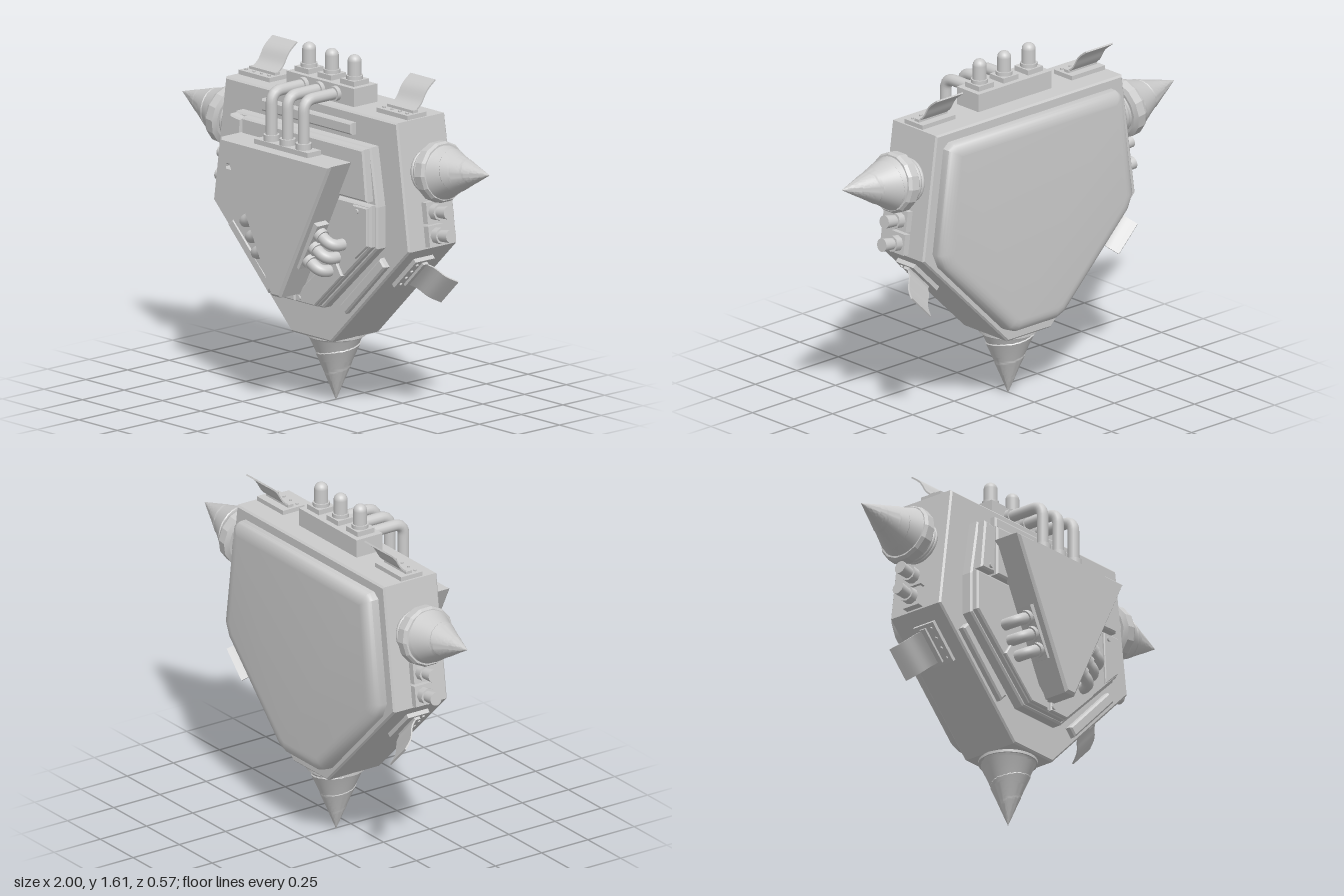
import * as THREE from 'three';
import { toCreasedNormals } from 'three/addons/utils/BufferGeometryUtils.js';

const mat = new THREE.MeshStandardMaterial({ color: 0xcccccc });
const thin = new THREE.MeshStandardMaterial({ color: 0xcccccc, side: THREE.DoubleSide });
const AXIS_Z = -0.08;

function add(parent, name, geo, x = 0, y = 0, z = 0, material = mat) {
  const m = new THREE.Mesh(geo, material);
  m.name = name;
  m.position.set(x, y, z);
  parent.add(m);
  return m;
}
const box = (w, h, d) => new THREE.BoxGeometry(w, h, d);
const cyl = (r0, r1, h, n = 20) => new THREE.CylinderGeometry(r0, r1, h, n);
const mirror = (half) => [...half, ...half.slice().reverse().filter(p => p[0] > 0).map(([x, y]) => [-x, y])];

// Flat plate from an outline, spanning z0 to z1, with bevelled rims
function plate(pts, z0, z1, bevel = 0.008, segments = 1, thick = bevel) {
  const shape = new THREE.Shape(pts.map(p => new THREE.Vector2(...p)));
  const geo = new THREE.ExtrudeGeometry(shape, {
    depth: z1 - z0 - 2 * thick, bevelEnabled: bevel > 0, bevelSize: bevel,
    bevelOffset: -bevel, bevelThickness: thick, bevelSegments: segments,
  });
  return geo.translate(0, 0, z0 + thick);
}

// Bent pipe through straight runs with rounded corner
function pipe(a, corner, b, r, bend) {
  const [A, C, B] = [a, corner, b].map(p => new THREE.Vector3(...p));
  const p = C.clone().add(A.clone().sub(C).setLength(bend));
  const q = C.clone().add(B.clone().sub(C).setLength(bend));
  const path = new THREE.CurvePath();
  path.add(new THREE.LineCurve3(A, p));
  path.add(new THREE.QuadraticBezierCurve3(p, C, q));
  path.add(new THREE.LineCurve3(q, B));
  return new THREE.TubeGeometry(path, 28, r, 14);
}

// Group on a hull edge: local y points out of the hull
function mount(parent, name, x, y, angle) {
  const g = new THREE.Group();
  g.name = name;
  g.position.set(x, y, 0);
  g.rotation.z = angle;
  parent.add(g);
  return g;
}

// Cone with a spiral step cut into it, base at y = 0
function drillCone(r, h, turns) {
  const geo = new THREE.CylinderGeometry(0.001, r, h, 48, 64).translate(0, h / 2, 0);
  const p = geo.attributes.position;
  for (let i = 0; i < p.count; i++) {
    const x = p.getX(i), z = p.getZ(i), t = p.getY(i) / h;
    if (t > 0.97 || t < 0.001) continue;
    const f = t * turns + Math.atan2(z, x) / (2 * Math.PI);
    const k = 1 - 0.06 * (1 - t) * (f - Math.floor(f));
    p.setX(i, x * k);
    p.setZ(i, z * k);
  }
  return toCreasedNormals(geo, 0.6);
}

// Curved flap on a bolted hinge plate
function addFlap(parent) {
  add(parent, 'flapPlate', box(0.2, 0.02, 0.115), 0, 0.01, -0.06);
  add(parent, 'flapHinge', box(0.17, 0.025, 0.03), 0, 0.02, -0.065);
  for (let i = -1.5; i <= 1.5; i++) add(parent, 'flapBolt', cyl(0.007, 0.007, 0.01, 8), i * 0.05, 0.022, -0.025);
  const curve = new THREE.SplineCurve([[0.06, 0.015], [0.105, 0.05], [0.14, 0.105], [0.19, 0.145]].map(p => new THREE.Vector2(...p)));
  const low = curve.getPoints(12);
  const high = low.map(p => new THREE.Vector2(p.x - 0.004, p.y + 0.006)).reverse();
  const geo = new THREE.ExtrudeGeometry(new THREE.Shape([...low, ...high]), { depth: 0.16, bevelEnabled: false });
  add(parent, 'flap', toCreasedNormals(geo.rotateY(Math.PI / 2).translate(-0.08, 0, 0), 0.6), 0, 0, 0, thin);
}

export function createModel() {
  const g = new THREE.Group();
  g.name = 'drillPack';

  // Hull and padded back
  add(g, 'hull', plate(mirror([[0.13, 0.31], [0.64, 0.815], [0.56, 1.39]]), -0.22, 0.07));
  const pad = plate(mirror([[0.12, 0.365], [0.17, 0.385], [0.555, 0.77], [0.585, 0.84], [0.52, 1.32], [0.49, 1.345]]),
    -0.285, -0.15, 0.06, 6, 0.04);
  add(g, 'backPad', toCreasedNormals(pad, 0.7));

  // Layered front armour
  add(g, 'frontBase', plate(mirror([[0.13, 0.475], [0.485, 0.81], [0.485, 1.0], [0.44, 1.265]]), 0.06, 0.12));
  add(g, 'lowerPanel', plate([...mirror([[0.015, 0.485], [0.12, 0.485], [0.475, 0.82], [0.475, 1.01]])], 0.1, 0.15));
  add(g, 'upperPanel', plate([[-0.355, 1.025], [0.46, 1.025], [0.435, 1.26], [-0.355, 1.26]], 0.1, 0.16));
  add(g, 'upperEndPanel', plate([[-0.46, 1.025], [-0.37, 1.025], [-0.36, 1.25], [-0.435, 1.26]], 0.1, 0.16));
  add(g, 'sidePanel', plate([[0.385, 0.755], [0.465, 0.825], [0.465, 1.0], [0.37, 1.0]], 0.14, 0.162, 0.005));
  for (const s of [-1, 1]) {
    add(g, 'chinPanel', plate(s > 0
      ? [[0.01, 0.49], [0.12, 0.49], [0.3, 0.66], [0.24, 0.75], [0.01, 0.53]]
      : [[-0.01, 0.53], [-0.24, 0.75], [-0.3, 0.66], [-0.12, 0.49], [-0.01, 0.49]], 0.14, 0.162, 0.005));
  }
  for (const [x, y] of [[-0.4, 1.05], [0.4, 0.975], [0.025, 0.51]]) {
    add(g, 'panelBolt', cyl(0.012, 0.012, 0.02, 8).rotateX(Math.PI / 2), x, y, 0.16);
  }
  add(g, 'topBar', plate([[-0.295, 1.29], [0.295, 1.29], [0.295, 1.345], [-0.295, 1.345]], 0.05, 0.1));

  // Triangular housing
  add(g, 'triangleHousing', plate([[-0.36, 1.19], [-0.03, 0.53], [0.03, 0.53], [0.36, 1.19]], 0.14, 0.288, 0.012));

  // Exhaust box with domed stacks and front pipes
  add(g, 'exhaustBox', box(0.44, 0.085, 0.14), 0, 1.43, -0.055);
  add(g, 'pipeBase', box(0.35, 0.025, 0.08), 0, 1.2, 0.21);
  for (const i of [-1, 0, 1]) {
    add(g, 'stackBase', box(0.09, 0.025, 0.09), i * 0.148, 1.483, -0.055);
    add(g, 'stackCollar', cyl(0.038, 0.038, 0.02), i * 0.148, 1.502, -0.055);
    add(g, 'stack', new THREE.CapsuleGeometry(0.031, 0.1, 8, 20), i * 0.148, 1.524, -0.055);
    add(g, 'pipeCollar', cyl(0.036, 0.036, 0.03), i * 0.105, 1.225, 0.21);
    add(g, 'frontPipe', pipe([i * 0.105, 1.2, 0.21], [i * 0.105, 1.432, 0.21], [i * 0.105, 1.432, 0], 0.026, 0.055));
    add(g, 'pipeSocket', cyl(0.034, 0.034, 0.03).rotateX(Math.PI / 2), i * 0.105, 1.432, 0.02);
  }

  for (const s of [-1, 1]) {
    // Slanted bars beside the chin
    add(g, 'slantBar', plate([[-0.185, -0.025], [0.185, -0.025], [0.185, 0.025], [-0.185, 0.025]], 0.05, 0.1), s * 0.365, 0.615)
      .rotation.z = s * Math.PI / 4;

    // Three short pipes from each side of the housing
    const side = mount(g, 'sidePipes', s * 0.152, 0.795, -s * 2.08);
    add(side, 'sidePipePad', box(0.25, 0.035, 0.07), 0, 0.012, 0.215);
    for (const i of [-1, 0, 1]) {
      add(side, 'sidePipeCollar', cyl(0.034, 0.034, 0.025), i * 0.075, 0.04, 0.215);
      add(side, 'sidePipe', pipe([i * 0.075, 0, 0.215], [i * 0.075, 0.12, 0.215], [i * 0.075, 0.12, 0.12], 0.027, 0.05));
    }

    // Flaps on the top and lower edges
    addFlap(mount(g, 'topFlap', s * 0.45, 1.39, 0));
    addFlap(mount(g, 'lowerFlap', s * 0.52, 0.695, -s * Math.PI * 0.75));

    // Side drills on ribbed necks
    const drill = mount(g, 'sideDrill', s * 0.592, 1.155, -s * 1.432);
    add(drill, 'drillNeck', cyl(0.085, 0.085, 0.1, 24), 0, 0.03, AXIS_Z);
    for (let i = 0; i < 4; i++) {
      add(drill, 'neckRib', new THREE.TorusGeometry(0.092, 0.01, 8, 24).rotateX(Math.PI / 2), 0, 0.01 + i * 0.016, AXIS_Z);
    }
    const collar = [[0, 0.06], [0.115, 0.06], [0.137, 0.07], [0.137, 0.11], [0.128, 0.125], [0, 0.125]].map(p => new THREE.Vector2(...p));
    add(drill, 'drillCollar', toCreasedNormals(new THREE.LatheGeometry(collar, 14), 0.3), 0, 0, AXIS_Z);
    add(drill, 'drillCone', drillCone(0.127, 0.297, 3), 0, 0.115, AXIS_Z);

    // Side nozzles
    for (const y of [0.975, 0.87]) {
      const nozzle = mount(g, 'nozzle', s * (0.64 - (y - 0.815) * 0.139), y, -s * 1.432);
      add(nozzle, 'nozzlePlate', box(0.095, 0.04, 0.09), 0, 0.01, AXIS_Z + 0.005);
      add(nozzle, 'nozzleRing', cyl(0.037, 0.037, 0.04, 8), 0, 0.045, AXIS_Z + 0.005);
      add(nozzle, 'nozzleTube', cyl(0.03, 0.026, 0.06), 0, 0.095, AXIS_Z + 0.005);
    }
  }

  // Bottom drill
  const bottom = mount(g, 'bottomDrill', 0, 0.32, Math.PI);
  add(bottom, 'bottomCollar', cyl(0.132, 0.132, 0.025, 32), 0, 0.01, AXIS_Z);
  add(bottom, 'bottomCone', drillCone(0.127, 0.3, 3), 0, 0.02, AXIS_Z);
  return g;
}
